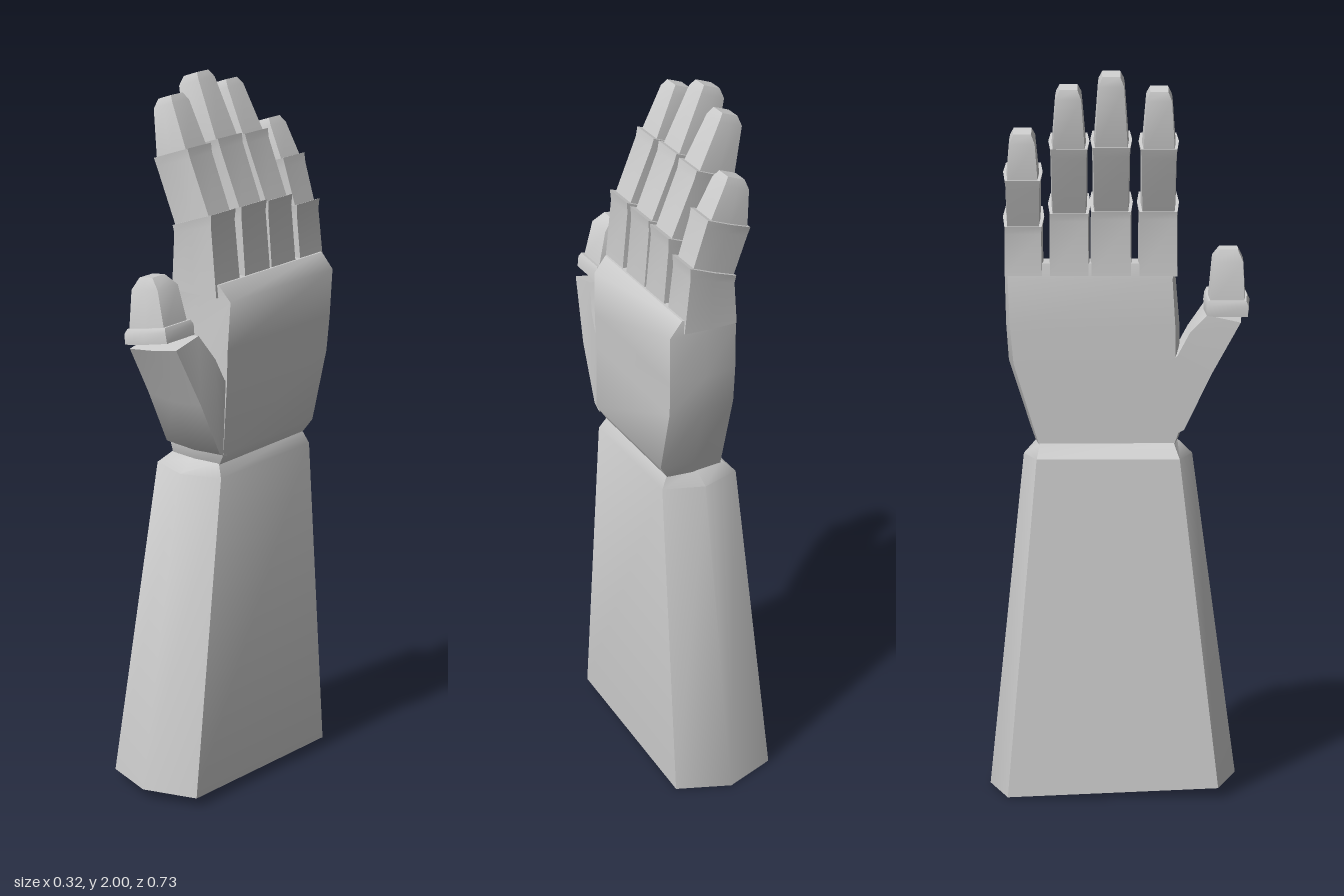
import * as THREE from 'three';
import { toCreasedNormals } from 'three/addons/utils/BufferGeometryUtils.js';

const material = new THREE.MeshStandardMaterial({ color: 0xcccccc });

// Six-sided cross-section: outer edge a and inner edge b are [y, z],
// x0..x1 is the thickness, bulge pushes the side ridges out, tilt raises the +x side.
function hex(a, b, x0, x1, bulge, tilt = 0) {
  const xm = (x0 + x1) / 2;
  const dy = a[0] - b[0], dz = a[1] - b[1], len = Math.hypot(dy, dz);
  const by = (bulge * dy) / len, bz = (bulge * dz) / len;
  const p = (x, y, z) => [x, y + tilt * (x - xm), z];
  return [
    p(x0, b[0], b[1]), p(x0, a[0], a[1]), p(xm, a[0] + by, a[1] + bz),
    p(x1, a[0], a[1]), p(x1, b[0], b[1]), p(xm, b[0] - by, b[1] - bz),
  ];
}

// Level section around z with half width hw
const level = (y, z, hw, x0, x1, bulge, tilt) => hex([y, z + hw], [y, z - hw], x0, x1, bulge, tilt);

// Skin a stack of sections, bottom to top, with both ends closed
function loft(name, sections) {
  const pos = [];
  const tri = (a, b, c) => pos.push(...a, ...b, ...c);
  for (let s = 0; s < sections.length - 1; s++) {
    const lo = sections[s], hi = sections[s + 1];
    for (let i = 0; i < 6; i++) {
      const j = (i + 1) % 6;
      tri(lo[i], lo[j], hi[j]);
      tri(lo[i], hi[j], hi[i]);
    }
  }
  const first = sections[0], last = sections[sections.length - 1];
  for (let i = 1; i < 5; i++) {
    tri(first[0], first[i + 1], first[i]);
    tri(last[0], last[i], last[i + 1]);
  }
  const geo = new THREE.BufferGeometry();
  geo.setAttribute('position', new THREE.Float32BufferAttribute(pos, 3));
  const mesh = new THREE.Mesh(toCreasedNormals(geo, 0.74), material);
  mesh.name = name;
  return mesh;
}

// Three tapered segments; each lower one ends in a small rim around the next
function finger({ name, z, hw, y, joint1, joint2, tip }) {
  const g = new THREE.Group();
  g.name = name;
  const [y1, y2, y3] = y;
  const [a0, a1] = joint1, [b0, b1] = joint2, [c0, c1] = tip;
  g.add(loft('lowerSegment', [
    level(1.44, z, hw, -0.035, 0.118, 0.003),
    level(y1 - 0.025, z, hw - 0.002, a0, a1, 0.004, 0.3),
    level(y1, z, hw, a0 - 0.004, a1 + 0.002, 0.006, 0.35),
  ]));
  g.add(loft('middleSegment', [
    level(y1 - 0.015, z, hw - 0.008, a0 + 0.004, a1 - 0.007, 0.004, 0.35),
    level(y2 - 0.025, z, hw - 0.006, b0 + 0.008, b1 + 0.006, 0.004, 0.35),
    level(y2, z, hw - 0.003, b0, b1, 0.006, 0.35),
  ]));
  g.add(loft('fingertip', [
    level(y2 - 0.015, z, hw - 0.009, b0 + 0.006, b1 - 0.006, 0.004, 0.35),
    level(y3 - 0.03, z, 0.034, c0, c1, 0.002, 0.35),
    level(y3 - 0.008, z, 0.024, c0 + 0.008, c1 - 0.014, 0.001, 0.35),
  ]));
  return g;
}

export function createModel() {
  const model = new THREE.Group();
  model.name = 'forearmAndHand';

  // Forearm, flaring to the cut end
  model.add(loft('forearm', [
    hex([0.025, 0.275], [0, -0.31], -0.16, 0.14, 0.054),
    hex([0.94, 0.167], [0.94, -0.227], -0.085, 0.14, 0.038),
    hex([0.978, 0.152], [0.978, -0.218], -0.042, 0.12, 0.012),
  ]));

  // Palm, with a bevel at the wrist and at the knuckles
  model.add(loft('palm', [
    hex([0.965, 0.15], [0.965, -0.218], -0.04, 0.118, 0.01),
    hex([1.01, 0.165], [1.01, -0.232], -0.04, 0.147, 0.013),
    hex([1.2, 0.155], [1.2, -0.29], -0.04, 0.15, 0.016),
    hex([1.3, 0.155], [1.3, -0.299], -0.04, 0.153, 0.014),
    hex([1.432, 0.147], [1.432, -0.305], -0.037, 0.156, 0.011),
    hex([1.475, 0.152], [1.475, -0.303], -0.028, 0.12, 0.01),
  ]));

  // Thumb: fleshy base, rim and tip
  const thumb = new THREE.Group();
  thumb.name = 'thumb';
  thumb.add(loft('thumbBase', [
    hex([1.0, 0.15], [1.2, 0.13], -0.04, 0.146, 0.006),
    hex([1.015, 0.18], [1.22, 0.16], -0.04, 0.146, 0.006),
    hex([1.17, 0.255], [1.285, 0.195], -0.039, 0.143, 0.008),
    hex([1.325, 0.335], [1.345, 0.243], -0.035, 0.125, 0.006, 0.15),
  ]));
  thumb.add(loft('thumbRim', [
    level(1.343, 0.298, 0.056, -0.035, 0.11, 0.007, 0.2),
    level(1.372, 0.298, 0.058, -0.036, 0.106, 0.006, 0.2),
    level(1.385, 0.298, 0.052, -0.03, 0.1, 0.005, 0.2),
  ]));
  thumb.add(loft('thumbTip', [
    level(1.37, 0.298, 0.048, -0.028, 0.095, 0.005, 0.2),
    level(1.485, 0.3, 0.041, -0.022, 0.068, 0.002, 0.15),
    level(1.515, 0.302, 0.025, -0.006, 0.038, 0.001, 0.15),
  ]));
  model.add(thumb);

  // Fingers
  const fingers = [
    { name: 'indexFinger', z: 0.108, hw: 0.052, y: [1.64, 1.81, 1.96],
      joint1: [-0.028, 0.098], joint2: [-0.098, 0.018], tip: [-0.11, -0.045] },
    { name: 'middleFinger', z: -0.021, hw: 0.054, y: [1.64, 1.815, 2.0],
      joint1: [-0.028, 0.1], joint2: [-0.1, 0.018], tip: [-0.13, -0.062] },
    { name: 'ringFinger', z: -0.136, hw: 0.053, y: [1.635, 1.81, 1.965],
      joint1: [-0.028, 0.1], joint2: [-0.098, 0.018], tip: [-0.121, -0.055] },
    { name: 'littleFinger', z: -0.262, hw: 0.051, y: [1.6, 1.725, 1.845],
      joint1: [-0.028, 0.1], joint2: [-0.073, 0.05], tip: [-0.075, -0.005] },
  ];
  for (const f of fingers) model.add(finger(f));

  return model;
}
